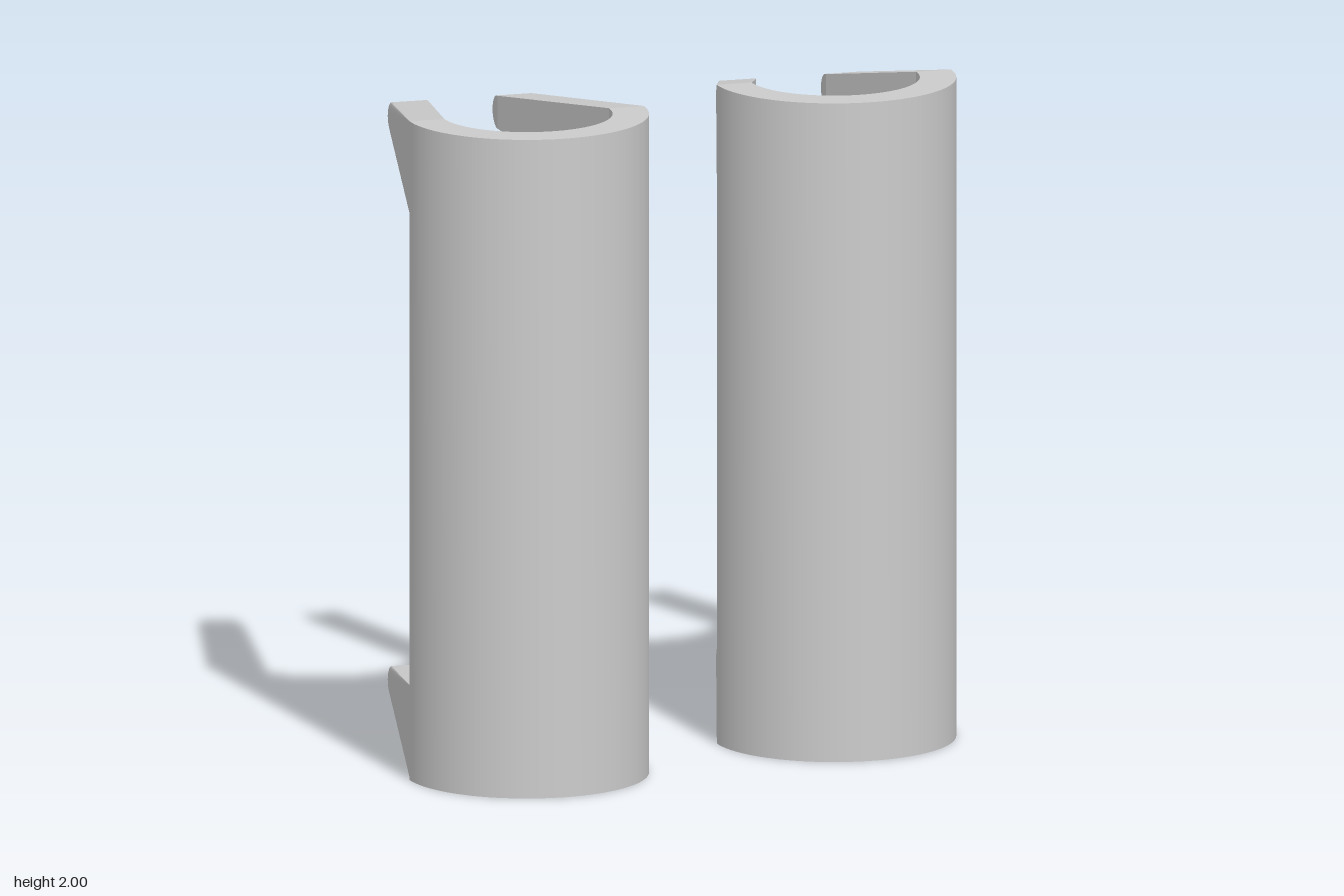
import * as THREE from 'three';
import { toCreasedNormals } from 'three/addons/utils/BufferGeometryUtils.js';
import { ConvexGeometry } from 'three/addons/geometries/ConvexGeometry.js';

const OUTER = 0.363, INNER = 0.255, HEIGHT = 2;
const TIP_Z = -0.482, TIP_R = 0.05, TIP_OUT = 0.217, TIP_IN = 0.108;
const ARM_HALF = 0.14;

const material = new THREE.MeshStandardMaterial({ color: 0xcccccc });

function addMesh(group, geometry, name) {
  const mesh = new THREE.Mesh(geometry, material);
  mesh.name = name;
  group.add(mesh);
}

// Half tube, open towards the back
function shellGeometry() {
  const shape = new THREE.Shape();
  shape.absarc(0, 0, OUTER, Math.PI, Math.PI * 2, false);
  shape.lineTo(INNER, 0);
  shape.absarc(0, 0, INNER, Math.PI * 2, Math.PI, true);
  shape.closePath();
  const geometry = new THREE.ExtrudeGeometry(shape, {
    depth: HEIGHT, bevelEnabled: false, curveSegments: 48,
  });
  geometry.rotateX(-Math.PI / 2);
  return toCreasedNormals(geometry, 0.5);
}

// Tapered prong: hull of the rectangular root and the rounded tip
function prongGeometry(side, y, tipZ) {
  const points = [];
  for (const x of [INNER, OUTER])
    for (const dy of [-ARM_HALF, ARM_HALF])
      points.push(new THREE.Vector3(side * x, y + dy, 0));
  const steps = 12;
  for (const x of [TIP_IN, TIP_OUT])
    for (let i = 0; i <= steps; i++) {
      const a = -Math.PI / 2 + (Math.PI * i) / steps;
      points.push(new THREE.Vector3(
        side * x, y + TIP_R * Math.sin(a), tipZ - TIP_R * Math.cos(a)));
    }
  return new ConvexGeometry(points);
}

// One clip: shell with four prongs reaching the common tip line
function createClip(name, x, z) {
  const clip = new THREE.Group();
  clip.name = name;
  clip.position.set(x, 0, z);
  addMesh(clip, shellGeometry(), 'shell');
  for (const [level, y] of [['upper', 1.86], ['lower', 0.148]])
    for (const [sideName, side] of [['Left', 1], ['Right', -1]])
      addMesh(clip, prongGeometry(side, y, TIP_Z - z), `${level}${sideName}Prong`);
  return clip;
}

export function createModel() {
  const model = new THREE.Group();
  model.name = 'clipPair';
  model.add(createClip('shortClip', 0.509, -0.046));
  model.add(createClip('longClip', -0.509, 0.169));
  return model;
}
